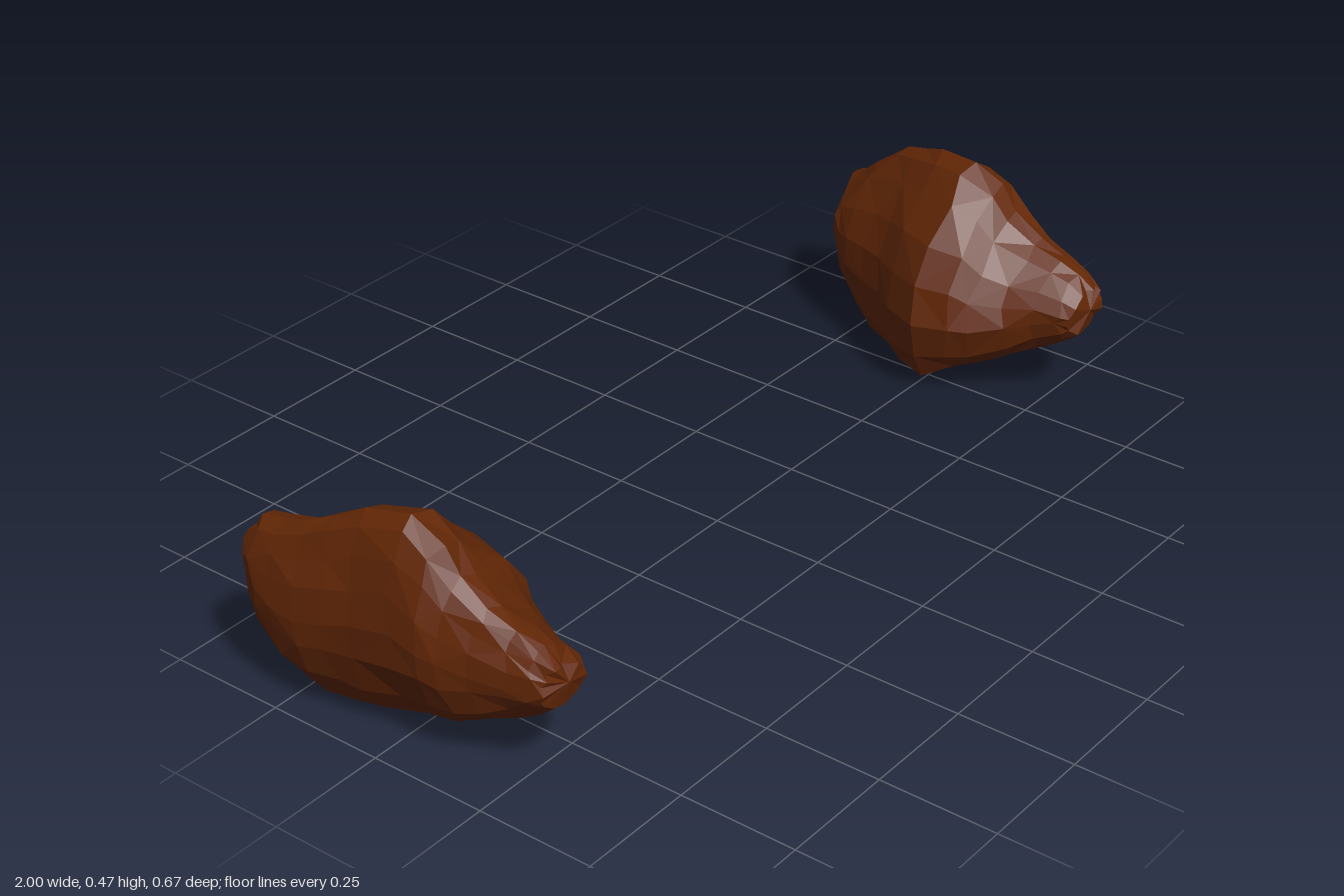
import * as THREE from 'three';

// Egg-shaped section, counter-clockwise: u runs inner to outer side, v bottom to top
const PROFILE = [
  [1, .53], [.97, .7], [.9, .84], [.81, .95], [.67, 1], [.52, .97], [.37, .86], [.17, .71],
  [.05, .54], [0, .36], [.06, .15], [.19, .03], [.45, 0], [.7, .03], [.89, .2], [.98, .38],
];

// Sections from nose to back: z, inner x, outer x, bottom y, top y left, top y right, roundness
const SECTIONS = [
  [.321, .79, .912, .175, .268, .262, .7],
  [.298, .774, .925, .155, .298, .296, .65],
  [.25, .757, .935, .125, .32, .32, .5],
  [.19, .728, .95, .095, .34, .345, .3],
  [.13, .685, .968, .058, .385, .385, .15],
  [.09, .66, .978, .045, .437, .437, .05],
  [.02, .637, .98, .016, .472, .472, 0],
  [-.07, .684, .982, 0, .466, .455, 0],
  [-.13, .728, .99, .006, .449, .425, .1],
  [-.19, .758, 1, .01, .43, .4, .2],
  [-.25, .782, 1, .045, .39, .385, .35],
  [-.295, .805, .997, .105, .35, .377, .45],
  [-.323, .827, .985, .165, .33, .35, .6],
];

function seeded(seed) {
  return () => {
    seed = (seed * 16807) % 2147483647;
    return seed / 2147483647 - .5;
  };
}

// lean pushes the upper ridge of the rock outward
function rockGeometry(side, seed, lean) {
  const rnd = seeded(seed), n = PROFILE.length, pos = [], index = [];
  for (const [z, xi, xo, yb, topLeft, topRight, round] of SECTIONS) {
    const yt = side > 0 ? topLeft : topRight;
    for (const [u, v] of PROFILE) {
      // Blend the egg toward an ellipse near the ends
      const a = Math.atan2(v - .5, u - .5);
      const uu = THREE.MathUtils.lerp(u, .5 + .5 * Math.cos(a), round);
      const vv = THREE.MathUtils.lerp(v, .5 + .5 * Math.sin(a), round);
      // Chips cut slightly inward, and corners wander along the surface
      const chip = 1 - .03 * (rnd() + .5);
      const shift = lean * Math.max(0, vv - .5) * (1 - uu) * 2;
      const x = xi + (xo - xi) * (.5 + (uu + shift - .5) * chip) + rnd() * .016 * (vv - .5);
      const y = yb + (yt - yb) * (.5 + (vv - .5) * (.2 * chip + .8)) + rnd() * .03 * (uu - .5);
      pos.push(side * x, y, z + rnd() * .018);
    }
  }
  const nose = pos.length / 3, back = nose + 1;
  pos.push(side * .85, .228, .335, side * .91, .27, -.333);

  const tri = (a, b, c) => (side > 0 ? index.push(a, b, c) : index.push(a, c, b));
  const last = (SECTIONS.length - 1) * n;
  for (let j = 0; j < n; j++) {
    const k = (j + 1) % n;
    for (let i = 0; i < last; i += n) {
      const a = i + j, b = i + k, c = a + n, d = b + n;
      if ((i / n + j) % 2) { tri(a, c, b); tri(b, c, d); }
      else { tri(a, c, d); tri(a, d, b); }
    }
    tri(nose, j, k);
    tri(back, last + k, last + j);
  }
  const geo = new THREE.BufferGeometry();
  geo.setAttribute('position', new THREE.Float32BufferAttribute(pos, 3));
  geo.setIndex(index);
  geo.computeVertexNormals();
  return geo;
}

export function createModel() {
  const group = new THREE.Group();
  group.name = 'rockPair';
  const material = new THREE.MeshStandardMaterial({ color: 0x632706, flatShading: true });
  for (const [name, side, seed, lean] of [['leftRock', 1, 4711, .05], ['rightRock', -1, 1973, .2]]) {
    const rock = new THREE.Mesh(rockGeometry(side, seed, lean), material);
    rock.name = name;
    group.add(rock);
  }
  return group;
}
